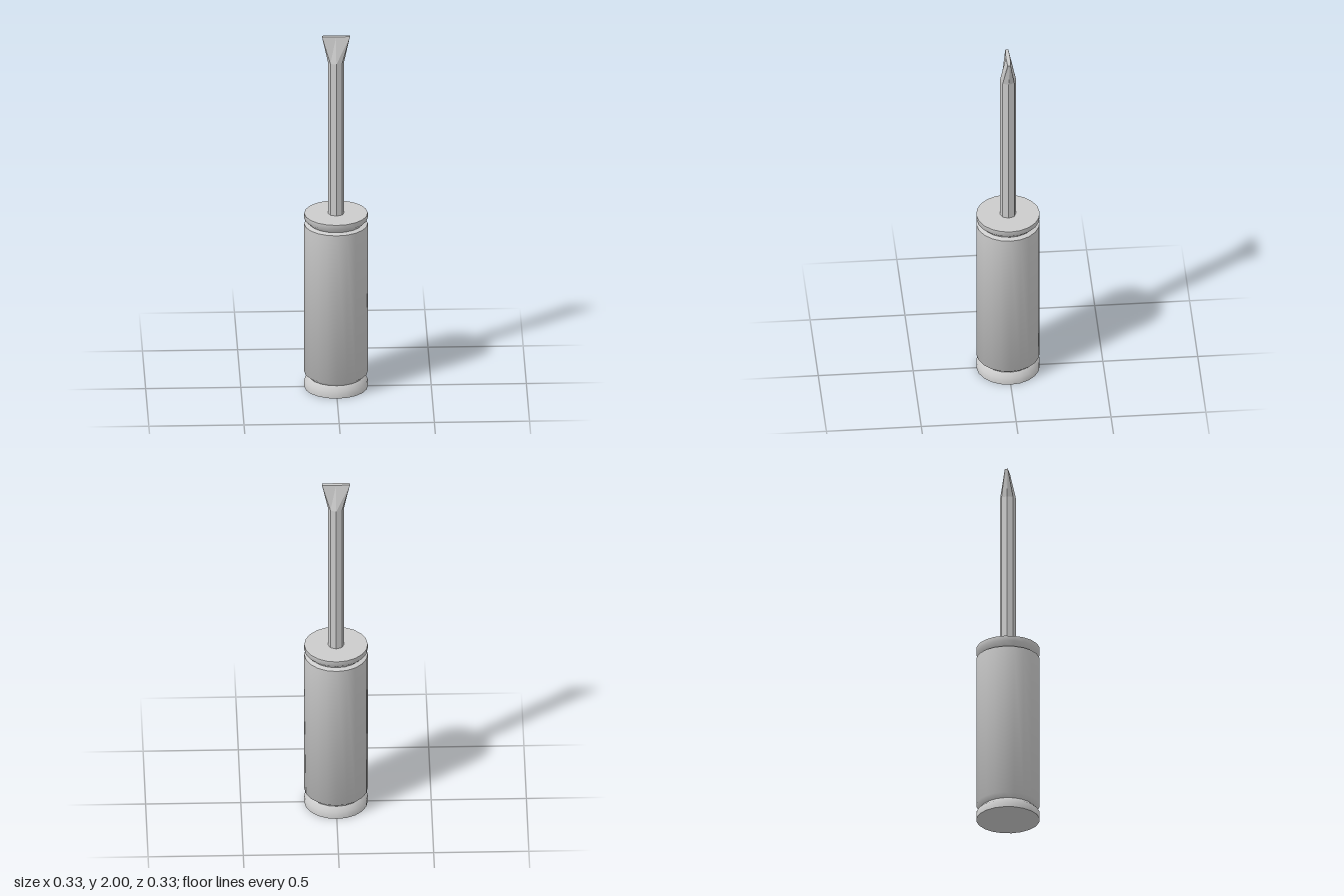
import * as THREE from 'three';
import { toCreasedNormals } from 'three/addons/utils/BufferGeometryUtils.js';

export function createModel() {
  const group = new THREE.Group();

  // Handle: 20-sided turned profile with a groove near each end
  const profile = [
    [0, 0], [0.167, 0], [0.167, 0.04], [0.143, 0.063], [0.167, 0.085],
    [0.167, 0.93], [0.143, 0.938], [0.167, 0.962], [0.167, 0.99], [0, 0.99],
  ].map(([r, y]) => new THREE.Vector2(r, y));
  const handle = new THREE.Mesh(
    toCreasedNormals(new THREE.LatheGeometry(profile, 20), 0.9),
    new THREE.MeshStandardMaterial({ color: 0xcccccc })
  );
  handle.name = 'handle';
  group.add(handle);

  // Shaft: octagonal rod, straight from the handle up to the blade
  const steel = new THREE.MeshStandardMaterial({ color: 0xcccccc, flatShading: true });
  const radius = 0.043, bladeStart = 1.855, shaftBase = 0.97;
  const shaft = new THREE.Mesh(
    new THREE.CylinderGeometry(radius, radius, bladeStart - shaftBase, 8, 1, true), steel);
  shaft.position.y = (bladeStart + shaftBase) / 2;
  shaft.name = 'shaft';
  group.add(shaft);

  // Blade: the octagon flares in x and flattens in z towards the tip
  const bladeHeight = 2 - bladeStart;
  const bladeGeometry = new THREE.CylinderGeometry(radius, radius, bladeHeight, 8);
  const p = bladeGeometry.attributes.position;
  for (let i = 0; i < p.count; i++) {
    if (p.getY(i) < 0) continue;
    const x = p.getX(i), z = p.getZ(i);
    p.setX(i, Math.abs(x) < 1e-4 ? 0 : Math.sign(x) * 0.074);
    p.setZ(i, z * 0.26);
  }
  bladeGeometry.computeVertexNormals();
  const blade = new THREE.Mesh(bladeGeometry, steel);
  blade.position.y = bladeStart + bladeHeight / 2;
  blade.name = 'blade';
  group.add(blade);

  return group;
}
